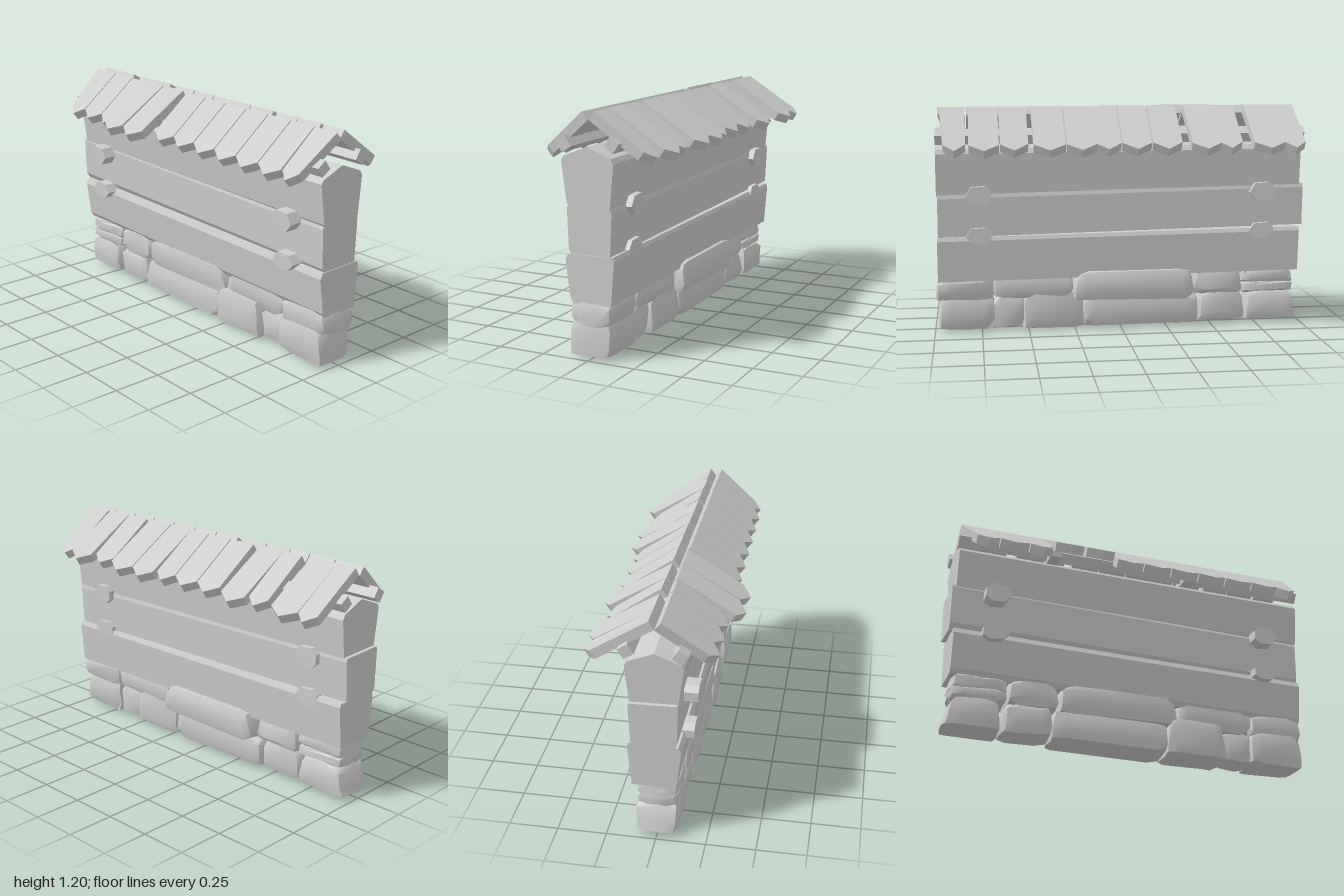
import * as THREE from 'three';
import { mergeVertices, toCreasedNormals } from 'three/addons/utils/BufferGeometryUtils.js';

const grey = new THREE.MeshStandardMaterial({ color: 0xcccccc });
grey.name = 'plainGrey';

let seed = 7;
const rand = () => {
  seed = (seed * 16807) % 2147483647;
  return seed / 2147483647 - 0.5;
};

function add(parent, name, geometry) {
  const mesh = new THREE.Mesh(geometry, grey);
  mesh.name = name;
  parent.add(mesh);
  return mesh;
}

function extrude(points, depth) {
  const shape = new THREE.Shape(points.map(([x, y]) => new THREE.Vector2(x, y)));
  return new THREE.ExtrudeGeometry(shape, { depth, bevelEnabled: false });
}

// Beam along x from a [z, y] cross-section; the height drifts by slope along its length
function beam(x0, x1, section, slope) {
  const geo = extrude(section.map(([z, y]) => [-z, y]), x1 - x0);
  geo.rotateY(Math.PI / 2).translate(x0, 0, 0);
  const p = geo.attributes.position;
  for (let i = 0; i < p.count; i++) {
    p.setY(i, p.getY(i) + slope * p.getX(i));
  }
  geo.computeVertexNormals();
  return geo;
}

// Worn stone: a subdivided box with edges pulled in; left and right ends lean in towards the top
function stone(x0, x1, y0, y1, z0, z1, leanLeft = 0, leanRight = 0) {
  let geo = new THREE.BoxGeometry(1, 1, 1, 3, 3, 3);
  geo.deleteAttribute('normal');
  geo.deleteAttribute('uv');
  geo = mergeVertices(geo, 1e-4);
  const p = geo.attributes.position;
  const size = [x1 - x0, y1 - y0, z1 - z0];
  const mid = [(x0 + x1) / 2, (y0 + y1) / 2, (z0 + z1) / 2];
  for (let i = 0; i < p.count; i++) {
    const c = [p.getX(i), p.getY(i), p.getZ(i)];
    const outer = c.filter((v) => Math.abs(v) > 0.4).length;
    const inset = [0, 0, 0.01, 0.018][outer];
    const out = c.map((v, k) => {
      const onFace = Math.abs(v) > 0.4;
      const reach = onFace ? size[k] / 2 - inset : size[k] / 2 - Math.min(0.06, size[k] * 0.28);
      return mid[k] + Math.sign(v) * reach + (onFace && outer === 1 ? 0 : rand() * 0.016);
    });
    const lean = (c[0] < 0 ? leanLeft : -leanRight) * (c[1] + 0.5);
    p.setXYZ(i, Math.min(1, out[0] + lean), Math.max(0, out[1]), out[2]);
  }
  return toCreasedNormals(geo, 0.7);
}

// Pointed roof plank from the ridge down to an eave at zTip; longer planks lie flatter
function plank(x0, x1, zTip, lean) {
  const t = 0.05;
  const ridge = 1.157;
  const run = zTip - 0.027;
  const drop = ridge - 0.952;
  const len = Math.hypot(run, drop);
  const l = x0 + 0.003 + Math.max(0, lean);
  const r = x1 - 0.003 + Math.min(0, lean);
  const geo = extrude([
    [x0 + 0.003, 0], [l, -len + 0.05], [(l + r) / 2, -len], [r, -len + 0.05], [x1 - 0.003, 0],
  ], t);
  geo.rotateX(Math.atan2(drop, run) - Math.PI / 2);
  return geo.translate(0, ridge, 0);
}

export function createModel() {
  const model = new THREE.Group();
  model.name = 'roofedWall';

  // Stone footing: x0, x1, y0, y1, z0, z1, leanLeft, leanRight
  const footing = new THREE.Group();
  footing.name = 'stoneFooting';
  model.add(footing);
  [
    [-0.99, -0.685, 0.015, 0.19, -0.11, 0.105, 0.05, 0.02],
    [-0.69, -0.42, 0.015, 0.19, -0.10, 0.10, 0.02, 0.02],
    [-0.44, 0.21, 0.005, 0.18, -0.11, 0.105, 0.02, 0],
    [0.19, 0.54, 0, 0.21, -0.11, 0.118, 0.02, 0.02],
    [0.52, 0.70, 0.01, 0.19, -0.09, 0.085],
    [0.68, 0.985, 0.005, 0.195, -0.11, 0.115, 0, 0.015],
    [-0.96, -0.67, 0.165, 0.245, -0.105, 0.10],
    [-0.965, -0.66, 0.215, 0.31, -0.10, 0.10, 0.02, 0.01],
    [-0.67, -0.39, 0.165, 0.312, -0.11, 0.105, 0.01, 0.02],
    [-0.40, 0.27, 0.16, 0.325, -0.155, 0.11, 0.02, 0.03],
    [0.26, 0.69, 0.17, 0.31, -0.11, 0.095],
    [0.68, 1.0, 0.165, 0.305, -0.115, 0.102, 0.01, 0.02],
  ].forEach((s) => add(footing, 'stone', stone(...s)));

  // Three stacked timbers
  add(model, 'lowerBeam', beam(-0.97, 0.98, [
    [0.085, 0.285], [0.102, 0.31], [0.125, 0.495], [0.112, 0.525],
    [-0.13, 0.53], [-0.138, 0.51], [-0.12, 0.29]], -0.012));
  add(model, 'middleBeam', beam(-0.99, 0.975, [
    [0.085, 0.515], [0.108, 0.55], [0.115, 0.75], [0.11, 0.765],
    [-0.12, 0.76], [-0.125, 0.74], [-0.115, 0.535]], -0.018));
  add(model, 'upperBeam', beam(-0.97, 0.98, [
    [0.085, 0.725], [0.112, 0.765], [0.14, 0.97], [0.125, 0.99], [0, 1.04],
    [-0.125, 0.99], [-0.14, 0.965], [-0.118, 0.74]], -0.005));

  // Pegs driven through the seams between timbers
  for (const side of [-1, 1]) {
    for (const [y, h, z0, z1] of [[0.738, 0.052, -0.155, 0.185], [0.525, 0.044, -0.14, 0.165]]) {
      const peg = add(model, 'peg', extrude([
        [-0.065, -h * 0.5], [-0.03, -h], [0.035, -h * 0.9], [0.07, -h * 0.05],
        [0.04, h * 0.9], [-0.035, h], [-0.065, h * 0.45]], z1 - z0));
      peg.position.set(side * 0.76, y, z0);
    }
  }

  // Roof rails and cross bars
  for (const [z, y] of [[0.125, 1.04], [-0.13, 1.05]]) {
    const rail = add(model, 'roofRail', new THREE.BoxGeometry(1.96, 0.058, 0.058));
    rail.position.set(0, y, z);
    rail.rotation.x = Math.sign(z) * 0.6;
  }
  for (const x of [0.3, -0.47]) {
    add(model, 'crossBar', new THREE.BoxGeometry(0.06, 0.035, 0.44)).position.set(x, 1.005, 0);
  }

  // Roof planks: x0, x1, zTip, lean
  const frontRoof = new THREE.Group();
  frontRoof.name = 'frontRoof';
  [
    [-0.955, -0.78, 0.285, 0.05], [-0.78, -0.62, 0.285, 0], [-0.62, -0.49, 0.285, 0],
    [-0.50, -0.34, 0.358, 0], [-0.34, -0.17, 0.358, 0.01], [-0.135, 0.02, 0.285, 0],
    [0.02, 0.18, 0.285, 0], [0.18, 0.34, 0.285, 0], [0.34, 0.50, 0.285, 0],
    [0.50, 0.66, 0.285, 0], [0.66, 0.82, 0.285, 0], [0.82, 0.97, 0.275, -0.04],
  ].forEach((p) => add(frontRoof, 'roofPlank', plank(...p)));

  const backRoof = new THREE.Group();
  backRoof.name = 'backRoof';
  backRoof.rotation.y = Math.PI;
  [
    [-0.95, -0.83, 0.35, 0], [-0.84, -0.67, 0.36, 0], [-0.62, -0.49, 0.315, 0],
    [-0.50, -0.34, 0.36, 0], [-0.30, -0.14, 0.32, 0], [-0.14, 0.02, 0.32, 0],
    [0.02, 0.16, 0.32, 0], [0.15, 0.31, 0.36, 0], [0.31, 0.48, 0.36, 0],
    [0.50, 0.65, 0.32, 0], [0.65, 0.81, 0.36, 0], [0.82, 0.96, 0.315, -0.02],
  ].forEach(([x0, x1, z, lean]) => add(backRoof, 'roofPlank', plank(-x1, -x0, z, -lean)));
  model.add(frontRoof, backRoof);

  return model;
}
